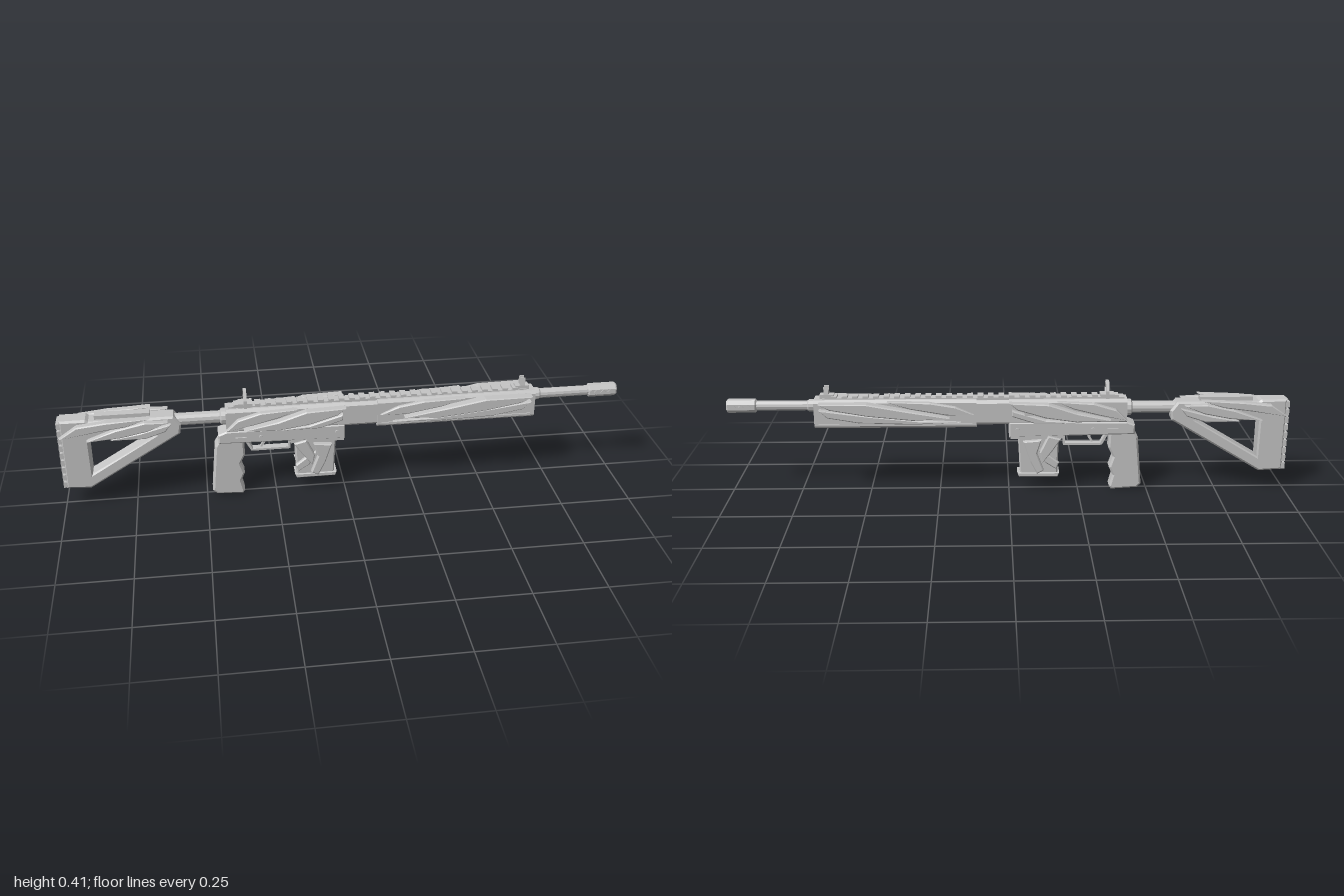
import * as THREE from 'three';

const steel = new THREE.MeshStandardMaterial({ color: 0xc4c4c4 });
steel.name = 'light grey';
steel.flatShading = true;

const toShape = (pts) => new THREE.Shape(pts.map(([a, b]) => new THREE.Vector2(a, b)));

function add(parent, name, geometry, x = 0, y = 0, z = 0) {
  const mesh = new THREE.Mesh(geometry, steel);
  mesh.name = name;
  mesh.position.set(x, y, z);
  parent.add(mesh);
  return mesh;
}

// Box given by its limits in x and y and its half width in z
function block(parent, name, x0, x1, y0, y1, halfZ, z = 0) {
  return add(parent, name, new THREE.BoxGeometry(x1 - x0, y1 - y0, halfZ * 2), (x0 + x1) / 2, (y0 + y1) / 2, z);
}

// Side outline in (x, y), thickened evenly across z, with a bevelled rim
function slab(pts, halfZ, bevel = 0.005, hole) {
  const shape = toShape(pts);
  if (hole) shape.holes.push(toShape(hole));
  const g = new THREE.ExtrudeGeometry(shape, {
    depth: 2 * (halfZ - bevel), bevelEnabled: bevel > 0, bevelSize: bevel,
    bevelOffset: -bevel, bevelThickness: bevel, bevelSegments: 1,
  });
  return g.translate(0, 0, -(halfZ - bevel));
}

// Cross-section in (z, y), run along x
function beam(pts, x0, x1, hole) {
  const shape = toShape(pts);
  if (hole) shape.holes.push(toShape(hole));
  return new THREE.ExtrudeGeometry(shape, { depth: x1 - x0, bevelEnabled: false }).rotateY(Math.PI / 2).translate(x0, 0, 0);
}

// Eight-sided section with chamfered corners
const section = (w, y0, y1, c) => [
  [-w + c, y0], [w - c, y0], [w, y0 + c], [w, y1 - c], [w - c, y1], [-w + c, y1], [-w, y1 - c], [-w, y0 + c],
];

// Turned part along x from pairs of (radius, x)
const turned = (pts, sides) => new THREE.LatheGeometry(pts.map(([r, x]) => new THREE.Vector2(r, x)), sides).rotateZ(-Math.PI / 2);

// Blade-like plates on both sides, leaning outward along x
function blades(parent, name, outlines, slope = 0, x0 = 0) {
  for (const side of [1, -1]) {
    for (const [z, half, pts] of outlines) {
      const g = slab(pts, half, 0.004);
      const p = g.attributes.position;
      for (let i = 0; i < p.count; i++) {
        p.setZ(i, p.getZ(i) + side * (z + slope * (p.getX(i) - x0)));
      }
      g.computeVertexNormals();
      add(parent, name, g);
    }
  }
}

function stock() {
  const g = new THREE.Group();
  g.name = 'stock';
  add(g, 'stockFrame', slab(
    [[-0.99, 0.34], [-0.99, 0.075], [-0.905, 0.07], [-0.58, 0.265], [-0.575, 0.3], [-0.6, 0.333], [-0.89, 0.333], [-0.9, 0.34]],
    0.033, 0.007, [[-0.895, 0.262], [-0.665, 0.262], [-0.895, 0.125]]));
  // Ribbed butt pad
  for (let i = 0; i < 9; i++) block(g, 'buttRib', -1, -0.98, 0.078 + i * 0.029, 0.1 + i * 0.029, 0.03);
  block(g, 'cheekRest', -0.87, -0.68, 0.33, 0.347, 0.016);
  blades(g, 'stockBlade', [
    [0.046, 0.014, [[-0.99, 0.285], [-0.93, 0.327], [-0.83, 0.338], [-0.68, 0.344], [-0.76, 0.318], [-0.86, 0.305]]],
    [0.053, 0.013, [[-0.9, 0.272], [-0.8, 0.31], [-0.7, 0.332], [-0.62, 0.328], [-0.69, 0.298], [-0.78, 0.28]]],
    [0.041, 0.01, [[-0.82, 0.265], [-0.72, 0.285], [-0.61, 0.312], [-0.63, 0.285], [-0.7, 0.262]]],
  ]);
  const tube = turned([[0, -0.6], [0.022, -0.6], [0.022, -0.44], [0.03, -0.435], [0.03, -0.415], [0, -0.415]], 12);
  add(g, 'stockTube', tube, 0, 0.307, 0);
  return g;
}

function receiver() {
  const g = new THREE.Group();
  g.name = 'receiver';
  add(g, 'upperReceiver', beam(section(0.037, 0.255, 0.345, 0.01), -0.42, 0));
  add(g, 'lowerReceiver', slab([[-0.45, 0.215], [-0.2, 0.21], [0, 0.205], [0, 0.262], [-0.42, 0.262], [-0.45, 0.25]], 0.037));
  add(g, 'barrelBlock', beam(section(0.033, 0.252, 0.342, 0.01), -0.005, 0.12));
  block(g, 'chargingHandle', -0.13, -0.06, 0.3, 0.312, 0.012, -0.045);
  block(g, 'chargingKnob', -0.085, -0.055, 0.296, 0.316, 0.008, -0.058);
  for (const z of [0.038, -0.038]) {
    block(g, 'selector', -0.39, -0.35, 0.228, 0.238, 0.004, z);
    for (const x of [-0.3, -0.03]) add(g, 'pin', new THREE.CylinderGeometry(0.007, 0.007, 0.008, 8).rotateX(Math.PI / 2), x, 0.235, z);
  }
  blades(g, 'receiverBlade', [
    [0.044, 0.012, [[-0.42, 0.272], [-0.38, 0.312], [-0.3, 0.336], [-0.17, 0.342], [-0.23, 0.315], [-0.32, 0.292]]],
    [0.056, 0.016, [[-0.36, 0.278], [-0.24, 0.305], [-0.14, 0.338], [0, 0.343], [-0.03, 0.318], [-0.13, 0.288], [-0.24, 0.272]]],
    [0.046, 0.012, [[-0.25, 0.265], [-0.13, 0.276], [-0.01, 0.312], [-0.01, 0.29], [-0.09, 0.264]]],
  ]);
  return g;
}

function gripAndTrigger() {
  const g = new THREE.Group();
  g.name = 'gripAndTrigger';
  add(g, 'grip', slab([[-0.45, 0.222], [-0.463, 0.2], [-0.48, 0.02], [-0.465, 0.006], [-0.372, 0], [-0.364, 0.012],
    [-0.375, 0.055], [-0.362, 0.085], [-0.375, 0.125], [-0.358, 0.16], [-0.36, 0.222]], 0.028, 0.007));
  // Thin guard strap, trigger and bolt release
  add(g, 'triggerGuard', slab([[-0.36, 0.215], [-0.335, 0.168], [-0.195, 0.168], [-0.195, 0.215]], 0.014, 0,
    [[-0.347, 0.21], [-0.329, 0.175], [-0.202, 0.175], [-0.202, 0.21]]));
  add(g, 'trigger', slab([[-0.3, 0.215], [-0.28, 0.215], [-0.284, 0.195], [-0.296, 0.178], [-0.303, 0.179], [-0.293, 0.197]], 0.006, 0));
  return g;
}

function magazine() {
  const g = new THREE.Group();
  g.name = 'magazine';
  block(g, 'magazineWell', -0.195, -0.005, 0.2, 0.235, 0.036);
  add(g, 'magazineBody', slab([[-0.18, 0.21], [-0.175, 0.062], [-0.04, 0.062], [-0.032, 0.21]], 0.026));
  add(g, 'magazineBase', slab([[-0.182, 0.068], [-0.176, 0.052], [-0.036, 0.052], [-0.03, 0.068]], 0.031, 0.003));
  blades(g, 'magazineBlade', [
    [0.034, 0.012, [[-0.185, 0.2], [-0.14, 0.212], [-0.11, 0.15], [-0.12, 0.11], [-0.155, 0.155]]],
    [0.044, 0.011, [[-0.115, 0.2], [-0.05, 0.195], [-0.075, 0.12], [-0.1, 0.072], [-0.125, 0.085], [-0.1, 0.15]]],
    [0.033, 0.009, [[-0.18, 0.11], [-0.135, 0.145], [-0.105, 0.16], [-0.13, 0.11], [-0.17, 0.085]]],
  ]);
  return g;
}

function handguard() {
  const g = new THREE.Group();
  g.name = 'handguard';
  add(g, 'handguardBody', beam(section(0.037, 0.243, 0.347, 0.01), 0.115, 0.69));
  for (const z of [0.037, -0.037]) block(g, 'handguardLip', 0.13, 0.675, 0.254, 0.262, 0.004, z);
  blades(g, 'handguardBlade', [
    [0.042, 0.014, [[0.125, 0.295], [0.19, 0.325], [0.28, 0.341], [0.43, 0.345], [0.35, 0.318], [0.22, 0.294]]],
    [0.05, 0.019, [[0.21, 0.286], [0.36, 0.315], [0.5, 0.342], [0.67, 0.343], [0.63, 0.322], [0.5, 0.298], [0.34, 0.28]]],
    [0.043, 0.015, [[0.17, 0.268], [0.32, 0.276], [0.5, 0.296], [0.67, 0.318], [0.64, 0.29], [0.53, 0.27], [0.34, 0.262]]],
  ], 0.025, 0.45);
  return g;
}

function railAndSights() {
  const g = new THREE.Group();
  g.name = 'railAndSights';
  block(g, 'railBase', -0.41, 0.66, 0.338, 0.35, 0.019);
  for (let x = -0.39; x < 0.62; x += 0.037) block(g, 'railTooth', x, x + 0.02, 0.348, 0.357, 0.019);
  // Angular ring at the rear, three prongs at the front
  block(g, 'rearSightBase', -0.375, -0.325, 0.345, 0.36, 0.022);
  add(g, 'rearSight', beam(
    [[-0.029, 0.345], [0.029, 0.345], [0.029, 0.374], [0.014, 0.405], [-0.014, 0.405], [-0.029, 0.374]], -0.355, -0.344,
    [[-0.014, 0.358], [0.014, 0.358], [0.023, 0.374], [0.011, 0.399], [-0.011, 0.399], [-0.023, 0.374]]));
  block(g, 'frontSightBase', 0.62, 0.67, 0.343, 0.362, 0.015);
  for (const s of [-1, 0, 1]) {
    const top = s ? 0.391 : 0.383;
    add(g, 'frontSightProng', beam(
      [[s * 0.011 - 0.004, 0.36], [s * 0.011 + 0.004, 0.36], [s * 0.01 + 0.001, top], [s * 0.01 - 0.001, top]], 0.638, 0.655));
  }
  return g;
}

function barrel() {
  const g = new THREE.Group();
  g.name = 'barrel';
  add(g, 'barrelTube', turned([[0, 0.68], [0.022, 0.68], [0.022, 0.71], [0.018, 0.715], [0.018, 0.91], [0, 0.91]], 12), 0, 0.32, 0);
  add(g, 'muzzle', turned([[0.017, 0.893], [0.025, 0.899], [0.025, 0.995], [0.022, 1], [0.009, 1], [0.009, 0.93], [0, 0.93]], 8)
    .rotateX(Math.PI / 8), 0, 0.32, 0);
  // Diamond vents on both flanks of the muzzle
  for (const z of [0.0235, -0.0235]) {
    for (let i = 0; i < 3; i++) {
      const vent = add(g, 'muzzleVent', new THREE.BoxGeometry(0.014, 0.014, 0.004), 0.922 + i * 0.026, 0.32, z);
      vent.rotation.z = Math.PI / 4;
    }
  }
  return g;
}

export function createModel() {
  const model = new THREE.Group();
  model.name = 'rifle';
  model.add(stock(), receiver(), gripAndTrigger(), magazine(), handguard(), railAndSights(), barrel());
  return model;
}
